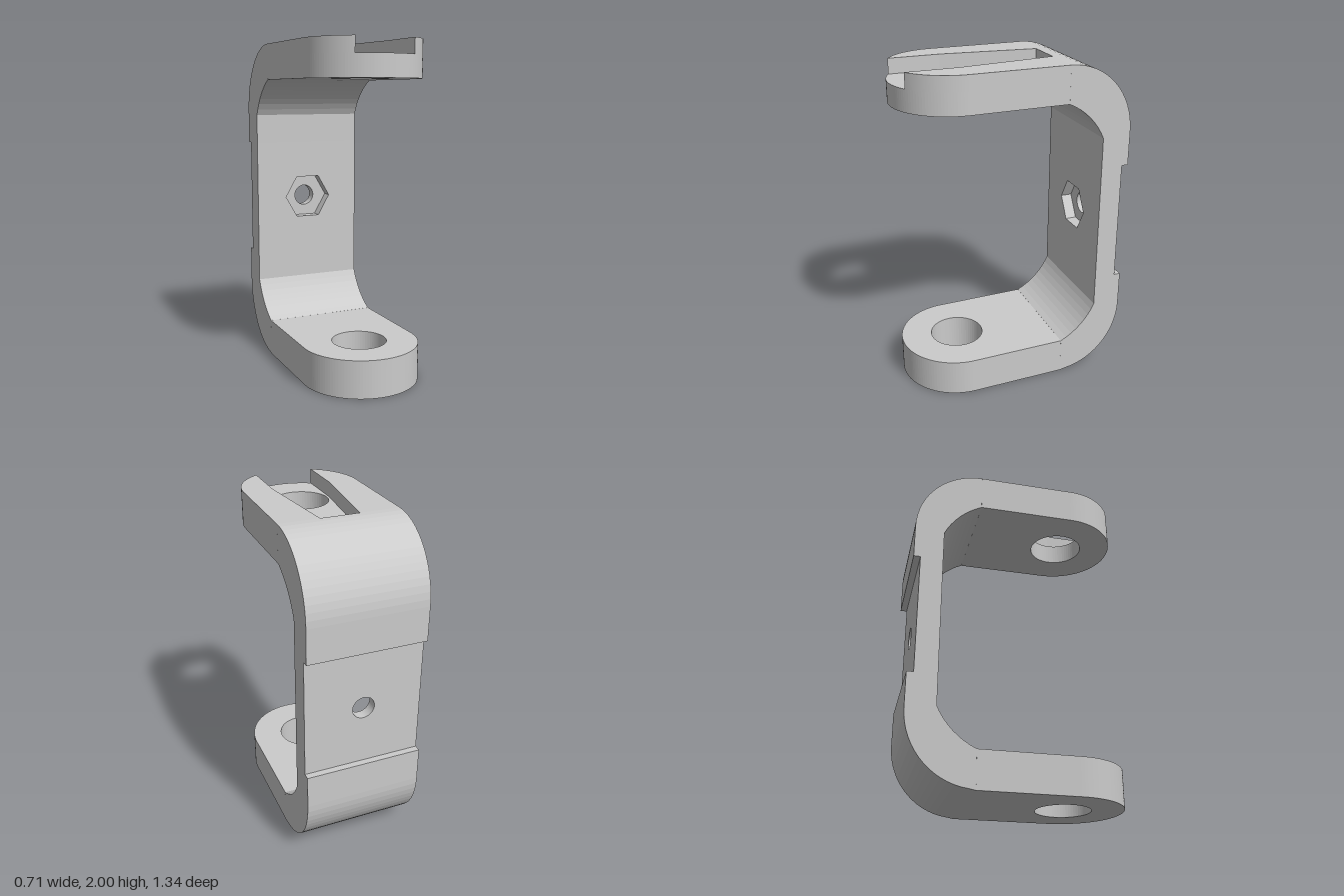
import * as THREE from 'three';

const W = 0.355;         // half width
const ZC = 0.313;        // centre of the rounded arm ends
const ZB = -0.27;        // where the arms meet the bends
const POCKET_Y = 1.91;   // floor of the slot in the upper arm

export function createModel() {
  const group = new THREE.Group();
  group.name = 'bracket';
  const material = new THREE.MeshStandardMaterial({ color: 0xcccccc, flatShading: true });

  const add = (name, geometry) => {
    const mesh = new THREE.Mesh(geometry, material);
    mesh.name = name;
    group.add(mesh);
  };
  const extrude = (shape, depth) =>
    new THREE.ExtrudeGeometry(shape, { depth, bevelEnabled: false, curveSegments: 32 });
  // plan shape (x, z) filled between two heights
  const slab = (shape, y0, y1) => extrude(shape, y1 - y0).rotateX(Math.PI / 2).translate(0, y1, 0);
  const circle = (x, y, r) => new THREE.Path().absarc(x, y, r, 0, Math.PI * 2, true);
  const arc = (cx, cy, rx, ry, a0, a1, n) => Array.from({ length: n + 1 }, (_, i) => {
    const a = THREE.MathUtils.degToRad(a0 + (a1 - a0) * i / n);
    return new THREE.Vector2(cx + rx * Math.cos(a), cy + ry * Math.sin(a));
  });

  // Arms: round-ended plates with a large hole
  const armShape = new THREE.Shape();
  armShape.moveTo(-W, ZB).lineTo(W, ZB).lineTo(W, ZC);
  armShape.absarc(0, ZC, W, 0, Math.PI, false);
  armShape.closePath();
  armShape.holes.push(circle(0, ZC, 0.165));
  add('lowerArm', slab(armShape, 0, 0.225));
  add('upperArm', slab(armShape, 1.78, POCKET_Y));

  // Raised rails either side of the tapered slot on the upper arm
  const slotHalf = 0.18, a = Math.acos(slotHalf / W);
  for (const s of [1, -1]) {
    const rail = new THREE.Shape();
    rail.moveTo(s * 0.115, ZB).lineTo(s * W, ZB).lineTo(s * W, ZC);
    rail.absarc(0, ZC, W, s > 0 ? 0 : Math.PI, s > 0 ? a : Math.PI - a, s < 0);
    rail.lineTo(s * slotHalf, ZC);
    rail.closePath();
    add(s > 0 ? 'leftRail' : 'rightRail', slab(rail, POCKET_Y, 2));
  }

  // Bends: side profile (z, y) run across the width, mirrored for the bottom
  const profile = [
    ...arc(ZB, 1.58, 0.4, 0.42, 90, 180, 16),
    new THREE.Vector2(-0.67, 1.37),
    new THREE.Vector2(-0.495, 1.37),
    ...arc(-0.0886, 1.3736, 0.445, 0.445, 155.9, 114.1, 8),
  ];
  for (const top of [true, false]) {
    const pts = profile.map(p => new THREE.Vector2(p.x, top ? p.y : 2.005 - p.y));
    if (!top) pts.forEach(p => { if (p.y < 0.006) p.y = 0; });
    add(top ? 'upperBend' : 'lowerBend',
      extrude(new THREE.Shape(pts), 2 * W).rotateY(-Math.PI / 2).translate(W, 0, 0));
  }

  // Back wall: front layer with hexagonal recess, rear layer with bolt hole
  const wall = (hole) => {
    const shape = new THREE.Shape();
    shape.moveTo(-W, 0.635).lineTo(W, 0.635).lineTo(W, 1.37).lineTo(-W, 1.37).closePath();
    shape.holes.push(hole);
    return shape;
  };
  const hex = new THREE.Path(arc(0, 1, 0.157, 0.157, 0, -300, 5));
  add('wallWithNutRecess', extrude(wall(hex), 0.07).translate(0, 0, -0.565));
  add('wallWithBoltHole', extrude(wall(circle(0, 1, 0.067)), 0.065).translate(0, 0, -0.63));

  return group;
}
